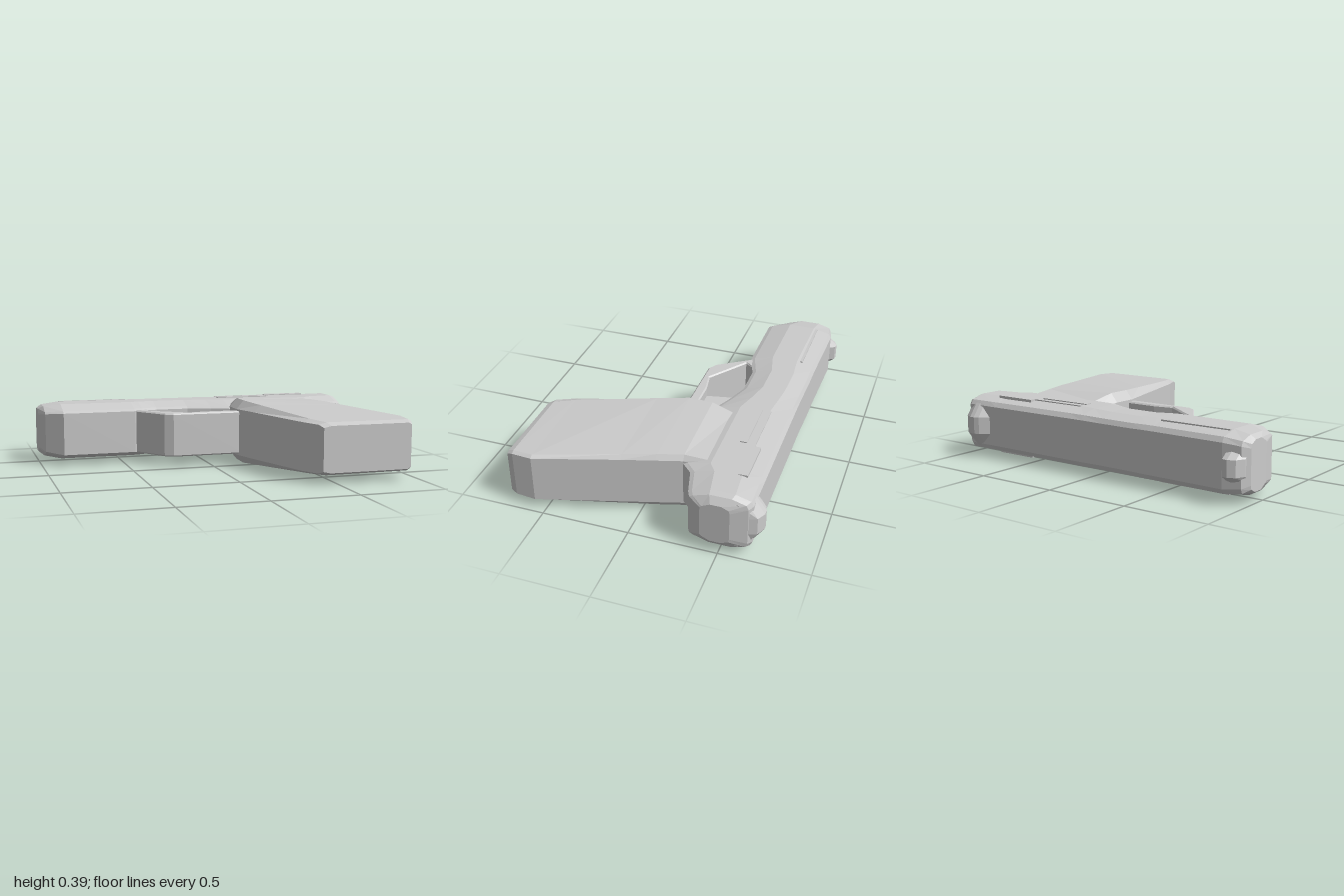
import * as THREE from 'three';

const MID = 0.197; // height of the symmetry plane; the model lies on its side
const material = new THREE.MeshStandardMaterial({ color: 0xcccccc, flatShading: true });

function addMesh(parent, name, geometry) {
  const mesh = new THREE.Mesh(geometry, material);
  mesh.name = name;
  parent.add(mesh);
  return mesh;
}

// Closed skin through rings of [x, y, z] corners, capped at both ends
function loft(rings) {
  const n = rings[0].length;
  const tris = [];
  for (let i = 0; i < rings.length - 1; i++) {
    for (let j = 0; j < n; j++) {
      const k = (j + 1) % n;
      const a = rings[i][j], b = rings[i][k], c = rings[i + 1][k], d = rings[i + 1][j];
      tris.push([a, b, c], [a, c, d]);
    }
  }
  const centre = (r) => [0, 1, 2].map((i) => r.reduce((s, p) => s + p[i], 0) / n);
  const first = rings[0], last = rings[rings.length - 1];
  const c0 = centre(first), c1 = centre(last);
  for (let j = 0; j < n; j++) {
    const k = (j + 1) % n;
    tris.push([c0, first[k], first[j]], [c1, last[j], last[k]]);
  }
  // Turn the faces outwards, judged by the signed volume
  const v = (p) => new THREE.Vector3(...p);
  const volume = tris.reduce((s, [a, b, c]) => s + v(a).dot(v(b).cross(v(c))), 0);
  if (volume < 0) tris.forEach((t) => t.reverse());
  const geometry = new THREE.BufferGeometry();
  geometry.setAttribute('position', new THREE.Float32BufferAttribute(tris.flat(2), 3));
  geometry.computeVertexNormals();
  return geometry;
}

// Mirrored ring across a length of the model at x, from [z, half width] pairs
const ringAt = (x, half) => [
  ...half.map(([z, w]) => [x, MID + w, z]),
  ...half.slice().reverse().map(([z, w]) => [x, MID - w, z]),
];

// Outline in (x, z), given thickness about the symmetry plane
function plate(points, half, bevel) {
  const shape = new THREE.Shape(points.map(([x, z]) => new THREE.Vector2(x, z)));
  const depth = 2 * (half - bevel);
  const geometry = new THREE.ExtrudeGeometry(shape, {
    depth, bevelEnabled: bevel > 0, bevelSize: bevel, bevelThickness: bevel,
    bevelOffset: -bevel, bevelSegments: 1,
  });
  geometry.translate(0, 0, -depth / 2);
  geometry.rotateX(Math.PI / 2);
  geometry.translate(0, MID, 0);
  return geometry;
}

// Slide and frame: [x, top z, bottom z, half width]
function bodyGeometry() {
  const profile = [[0, 0.7], [0.04, 0.86], [0.28, 1], [0.66, 1], [0.94, 0.82], [1, 0.75]];
  const stations = [
    [-1, -0.62, -0.47, 0.135], [-0.97, -0.665, -0.365, 0.155], [-0.87, -0.685, -0.27, 0.17],
    [-0.43, -0.675, -0.27, 0.17], [-0.38, -0.675, -0.285, 0.17], [-0.28, -0.675, -0.32, 0.168],
    [-0.08, -0.67, -0.32, 0.168], [0.06, -0.67, -0.27, 0.17], [0.17, -0.67, -0.22, 0.17],
    [0.73, -0.67, -0.22, 0.168], [0.79, -0.67, -0.28, 0.168], [0.94, -0.67, -0.32, 0.168],
    [0.97, -0.65, -0.335, 0.158], [1, -0.56, -0.4, 0.12],
  ];
  return loft(stations.map(([x, top, bottom, w]) =>
    ringAt(x, profile.map(([t, s]) => [top + t * (bottom - top), s * w]))));
}

// Grip: [z, front x, rear x, front half width, rear half width, strap half width]
function gripGeometry() {
  const stations = [
    [-0.36, 0.19, 0.72, 0.16, 0.16, 0.12], [-0.22, 0.17, 0.73, 0.195, 0.172, 0.142],
    [-0.08, 0.167, 0.772, 0.195, 0.172, 0.142], [0.1, 0.215, 0.826, 0.184, 0.166, 0.142],
    [0.56, 0.345, 0.967, 0.155, 0.152, 0.138], [0.675, 0.395, 0.957, 0.148, 0.147, 0.136],
    [0.71, 0.412, 0.945, 0.132, 0.132, 0.122],
  ];
  return loft(stations.map(([z, front, rear, wf, wr, ws]) => {
    const side = [[front, ws], [front + 0.045, wf], [rear - 0.02, wr], [rear, ws]];
    return [
      ...side.map(([x, w]) => [x, MID + w, z]),
      ...side.slice().reverse().map(([x, w]) => [x, MID - w, z]),
    ];
  }));
}

// Rounded sight: list of [x, top z]
const sightGeometry = (crest, topHalf, baseHalf) => loft(crest.map(([x, z]) =>
  ringAt(x, [[z, topHalf], [Math.min(z + 0.06, -0.6), baseHalf], [-0.58, baseHalf]])));

export function createModel() {
  const model = new THREE.Group();
  model.name = 'pistol';

  addMesh(model, 'slideAndFrame', bodyGeometry());
  addMesh(model, 'grip', gripGeometry());
  addMesh(model, 'frontSight', sightGeometry(
    [[-0.985, -0.65], [-0.96, -0.7], [-0.92, -0.72], [-0.89, -0.715], [-0.865, -0.67]], 0.045, 0.09));
  addMesh(model, 'rearSight', sightGeometry(
    [[0.78, -0.665], [0.84, -0.71], [0.87, -0.72], [0.9, -0.72], [0.95, -0.695], [0.98, -0.62]], 0.05, 0.135));

  // Trigger guard loop and the narrower trigger inside it
  addMesh(model, 'triggerGuard', plate([
    [-0.43, -0.285], [-0.41, -0.255], [-0.29, -0.08], [-0.24, -0.05], [0.2, -0.05],
    [0.2, -0.11], [-0.02, -0.11], [-0.14, -0.09], [-0.37, -0.255], [-0.34, -0.3],
  ], 0.132, 0.008));
  addMesh(model, 'trigger', plate([
    [-0.07, -0.34], [0.2, -0.34], [0.2, -0.1], [-0.02, -0.1], [-0.05, -0.25],
  ], 0.07, 0));

  // Raised bars on both flanks: [name, x start, x end, z start, z end, half width]
  const bars = [
    ['slideStop', 0.165, 0.5, -0.505, -0.465, 0.175],
    ['frameRail', 0.165, 0.78, -0.555, -0.54, 0.173],
    ['safetyLever', 0.52, 0.78, -0.59, -0.55, 0.174],
    ['muzzleRib', -0.86, -0.43, -0.595, -0.58, 0.17],
  ];
  for (const [name, x0, x1, z0, z1, half] of bars) {
    for (const side of [1, -1]) {
      const geometry = new THREE.BoxGeometry(x1 - x0, 0.03, z1 - z0);
      geometry.translate((x0 + x1) / 2, MID + side * (half - 0.015), (z0 + z1) / 2);
      addMesh(model, name + (side > 0 ? 'Upper' : 'Lower'), geometry);
    }
  }
  return model;
}
